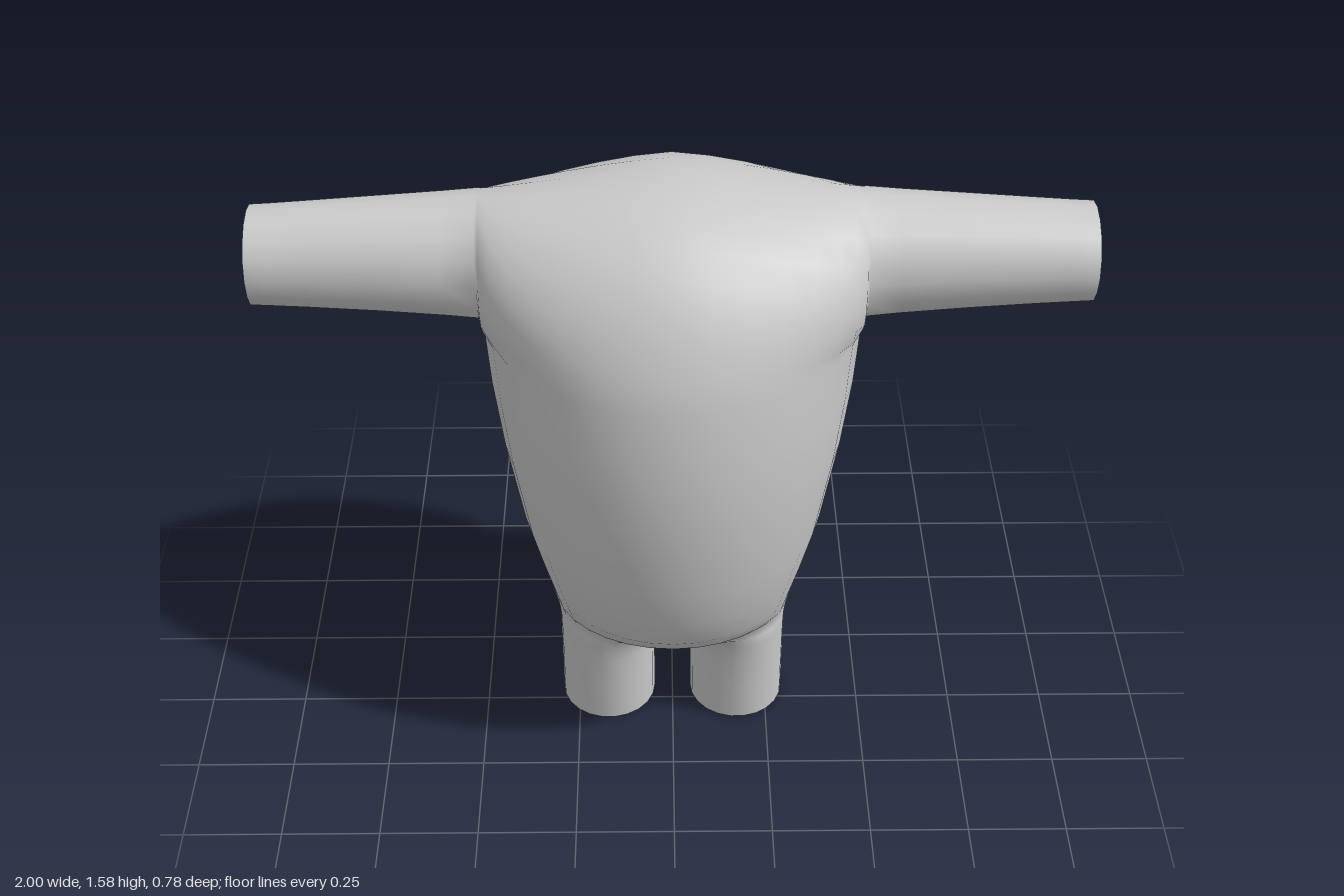
import * as THREE from 'three';
import { mergeGeometries, mergeVertices } from 'three/addons/utils/BufferGeometryUtils.js';

const M = 16; // stations across the half girth of the torso
const K = 16; // steps over the shoulder, and around each arm
const V = (x, y, z) => new THREE.Vector3(x, y, z);
const lerp = THREE.MathUtils.lerp;

// Skin a grid of points: columns run to the right, rows run upwards, seen from outside
function skin(rows) {
  const pos = [], index = [], n = rows[0].length;
  rows.forEach(row => row.forEach(p => pos.push(p.x, p.y, p.z)));
  for (let r = 0; r < rows.length - 1; r++) {
    for (let c = 0; c < n - 1; c++) {
      const a = r * n + c, d = a + n;
      index.push(a, a + 1, d, a + 1, d + 1, d);
    }
  }
  const g = new THREE.BufferGeometry();
  g.setAttribute('position', new THREE.Float32BufferAttribute(pos, 3));
  g.setIndex(index);
  return g;
}

// Torso rings from hip to armpit: height, half width, front z, side z, back z
const torsoRings = [
  [0.34, 0.302, 0.175, -0.03, -0.185],
  [0.38, 0.308, 0.23, -0.03, -0.225],
  [0.44, 0.32, 0.28, -0.03, -0.285],
  [0.53, 0.347, 0.315, -0.04, -0.318],
  [0.65, 0.38, 0.352, -0.05, -0.352],
  [0.88, 0.422, 0.39, -0.06, -0.358],
  [1.06, 0.447, 0.384, -0.07, -0.362],
  [1.21, 0.46, 0.37, -0.08, -0.375],
];
function ringPoint([y, w, front, side, back], t) {
  const c = Math.cos(t);
  return V(w * Math.sin(t), y, side + c * (c > 0 ? front - side : side - back));
}
function torso() {
  return skin(torsoRings.map(ring =>
    Array.from({ length: 2 * M + 1 }, (_, i) => ringPoint(ring, (i * Math.PI) / M))));
}

// Section over the top of the chest at x = 0, front to back
const ridge = new THREE.CatmullRomCurve3([
  [0.37, 1.21], [0.34, 1.31], [0.295, 1.41], [0.2, 1.52], [0.07, 1.57], [-0.11, 1.575],
  [-0.26, 1.54], [-0.35, 1.46], [-0.385, 1.37], [-0.388, 1.3], [-0.375, 1.21],
].map(([z, y]) => V(0, y, z)));

// Arm sections from shoulder to wrist: x, centre y, centre z, half height, half depth
const armRings = [
  [0.46, 1.3675, -0.08, 0.1575, 0.156],
  [0.54, 1.3685, -0.079, 0.151, 0.148],
  [0.7, 1.37, -0.077, 0.14, 0.136],
  [0.86, 1.37, -0.076, 0.129, 0.128],
  [0.95, 1.37, -0.075, 0.123, 0.125],
  [1, 1.37, -0.075, 0.12, 0.124],
];
function armPoint([x, cy, cz, ry, rz], s) {
  const t = s * 2 * Math.PI;
  return V(x, cy - ry * Math.cos(t), cz + rz * Math.sin(t));
}

// Chest arches close into full armholes at both ends and run on as open sleeves
function shouldersAndArms() {
  const rows = [];
  for (let j = 0; j <= K; j++) {
    const s = j / K, mid = ridge.getPointAt(s), hole = armPoint(armRings[0], s);
    const k = Math.sin(Math.PI * s);
    const right = armRings.slice(1).reverse().map(r => armPoint(r, s).setX(-r[0]));
    const chest = [];
    for (let i = 0; i <= M; i++) {
      const u = (i / M - 0.5) * Math.PI, w = 1 - Math.cos(u);
      const slope = Math.pow(Math.abs(Math.sin(u)), 1.4);
      chest.push(V(0.46 * Math.sin(u),
        lerp(mid.y, hole.y, lerp(w, slope, k)), lerp(mid.z, hole.z, w)));
    }
    rows.push([...right, ...chest, ...armRings.slice(1).map(r => armPoint(r, s))]);
  }
  return skin(rows);
}

// Leg: half the hip ring plus a crotch bridge, easing down into an open round tube
function leg(side) {
  const B = 6; // bridge steps
  const hip = [], angle = [];
  for (let i = 0; i <= M; i++) {
    hip.push(ringPoint(torsoRings[0], (i * Math.PI) / M));
    angle.push(-40 + (260 * i) / M);
  }
  const back = hip[M], front = hip[0];
  for (let i = 1; i <= B; i++) {
    const t = i / B;
    hip.push(V(0, 0.34 - 0.018 * Math.sin(Math.PI * t), lerp(back.z, front.z, t)));
    angle.push(220 + (100 * i) / B);
  }
  // height, centre z, half depth, roundness
  const rings = [[0, -0.052, 0.13, 1], [0.12, -0.043, 0.135, 1], [0.23, -0.032, 0.143, 1],
    [0.285, -0.027, 0.149, 0.95], [0.32, -0.023, 0.155, 0.75]];
  const rows = rings.map(([y, cz, rz, round]) => hip.map((h, i) => {
    const t = THREE.MathUtils.degToRad(angle[i]);
    const tube = V(0.172 + 0.124 * Math.sin(t), y, cz + rz * Math.cos(t));
    const p = h.clone().lerp(tube, round);
    p.y = Math.min(y, h.y - 0.006);
    return p;
  }));
  rows.push(hip);
  if (side > 0) return skin(rows);
  return skin(rows.map(row => row.map(p => V(-p.x, p.y, p.z)).reverse()));
}

export function createModel() {
  const group = new THREE.Group();
  group.name = 'body';
  // Weld torso, shoulders and legs into one smooth hollow shell
  const geometry = mergeVertices(
    mergeGeometries([torso(), shouldersAndArms(), leg(1), leg(-1)]), 1e-4);
  geometry.computeVertexNormals();
  const shell = new THREE.Mesh(geometry,
    new THREE.MeshStandardMaterial({ color: 0xcccccc, side: THREE.DoubleSide }));
  shell.name = 'bodyShell';
  group.add(shell);
  return group;
}
